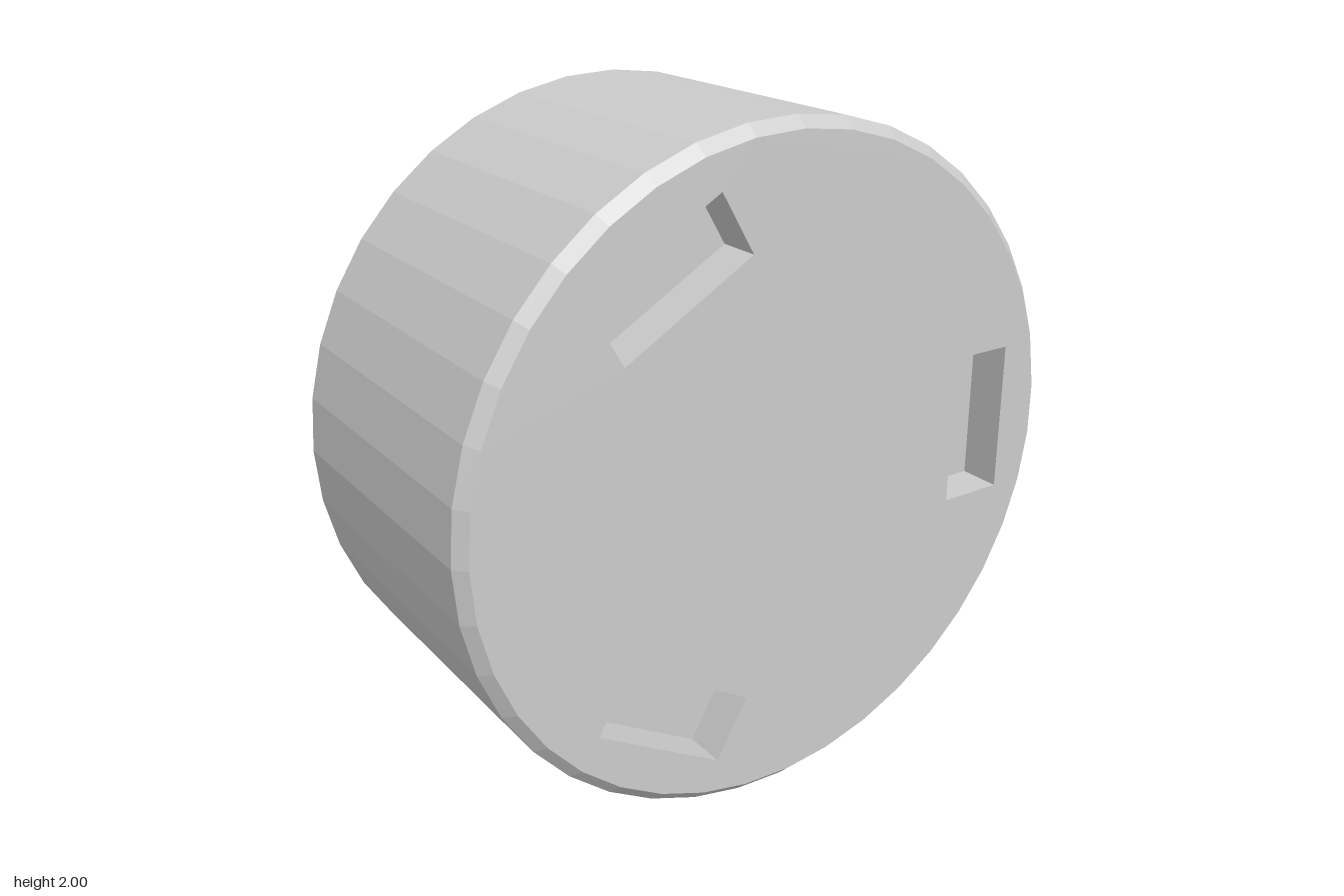
import * as THREE from 'three';

const SIDES = 39, HALF = 0.467, CHAMFER = 0.033;
const SLOT = { x: 0.733, w: 0.203, h: 0.456, depth: 0.13 };

export function createModel() {
  const group = new THREE.Group();
  const material = new THREE.MeshStandardMaterial({ color: 0xcccccc, flatShading: true });
  const step = (Math.PI * 2) / SIDES;

  const add = (name, geometry) => {
    const flat = geometry.index ? geometry.toNonIndexed() : geometry;
    flat.computeVertexNormals();
    const mesh = new THREE.Mesh(flat, material);
    mesh.name = name;
    mesh.position.y = 1;
    group.add(mesh);
    return mesh;
  };

  // Faceted drum with closed back and chamfered front rim, one flat facing +x
  const profile = [
    [0, -HALF], [1, -HALF], [1, HALF - CHAMFER], [1 - CHAMFER, HALF],
  ].map(([r, y]) => new THREE.Vector2(r, y));
  const drum = new THREE.LatheGeometry(profile, SIDES, Math.PI / 2 + step / 2);
  drum.rotateX(Math.PI / 2);
  add('drum', drum);

  // Front face with three slot openings
  const face = new THREE.Shape(Array.from({ length: SIDES }, (_, i) => {
    const a = (i + 0.5) * step;
    return new THREE.Vector2(Math.cos(a), Math.sin(a)).multiplyScalar(1 - CHAMFER);
  }));
  const corners = [[-1, -1], [-1, 1], [1, 1], [1, -1]];
  const origin = new THREE.Vector2();
  for (let i = 0; i < 3; i++) {
    const angle = (i * Math.PI * 2) / 3;
    face.holes.push(new THREE.Path(corners.map(([sx, sy]) =>
      new THREE.Vector2(SLOT.x + sx * SLOT.w / 2, sy * SLOT.h / 2).rotateAround(origin, angle))));

    // Recessed slot: a box turned inside out, without its front lid
    const box = new THREE.BoxGeometry(SLOT.w, SLOT.h, SLOT.depth);
    const index = Array.from(box.index.array);
    index.splice(24, 6);
    box.setIndex(index);
    box.scale(-1, 1, 1);
    box.translate(SLOT.x, 0, HALF - SLOT.depth / 2);
    add('slot' + (i + 1), box).rotation.z = angle;
  }
  add('frontFace', new THREE.ShapeGeometry(face).translate(0, 0, HALF));

  return group;
}
